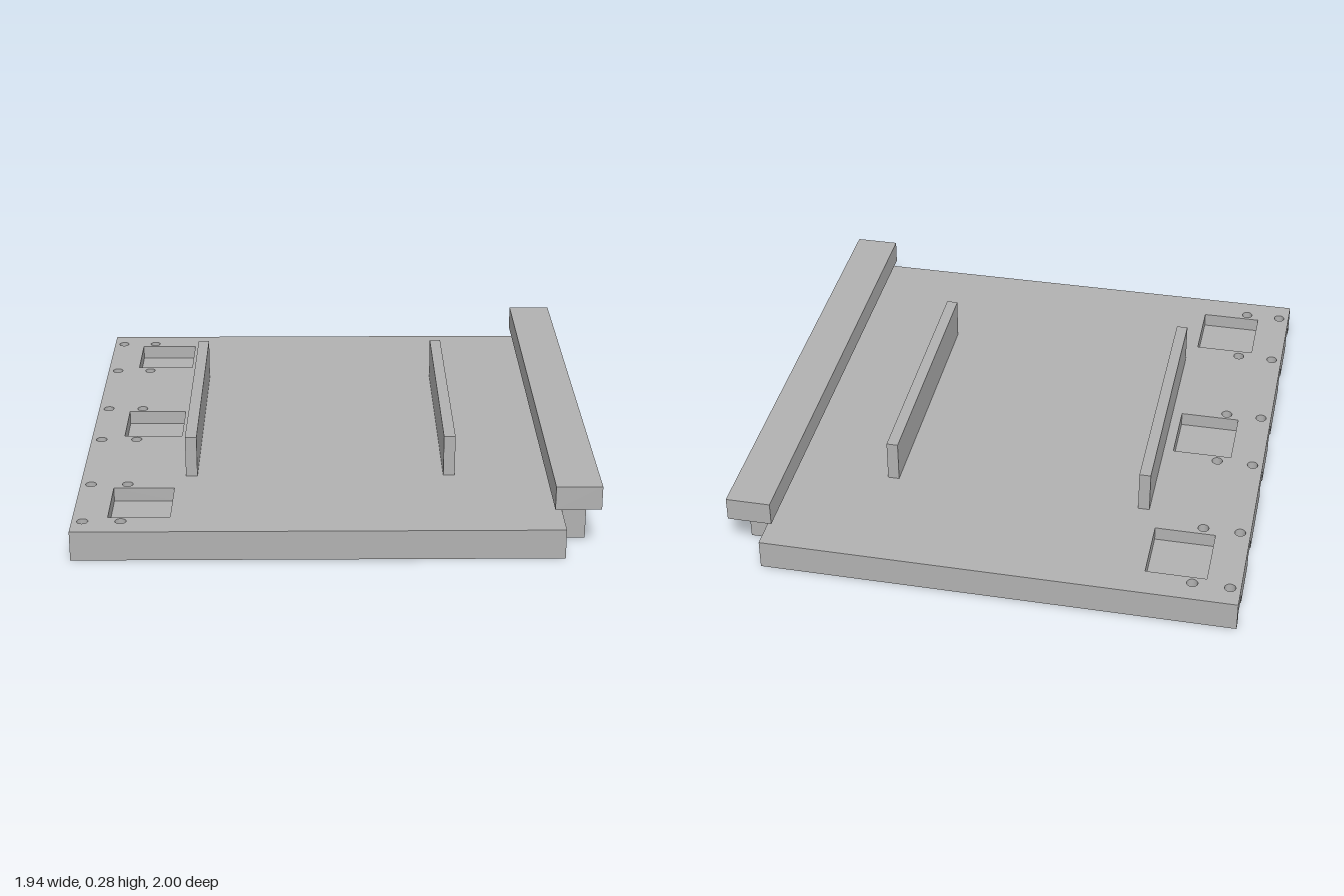
import * as THREE from 'three';

const LEFT = -0.97, RIGHT = 0.84, THICK = 0.115;
const ROWS = [-0.91, -0.587, -0.16, 0.16, 0.587, 0.91]; // z of each pair of bolt holes
const COLUMNS = [-0.93, -0.79];                         // x of the two holes in a pair
const SLOT = 0.055;                                     // half width of the underside recesses

function rectangle(Type, x0, x1, z0, z1) {
  const p = new Type();
  p.moveTo(x0, z0);
  p.lineTo(x1, z0);
  p.lineTo(x1, z1);
  p.lineTo(x0, z1);
  p.closePath();
  return p;
}

function circle(x, z, r) {
  const p = new THREE.Path();
  p.absarc(x, z, r, 0, Math.PI * 2, true);
  return p;
}

export function createModel() {
  const group = new THREE.Group();
  const grey = new THREE.MeshStandardMaterial({ color: 0xb2b2b2 });
  grey.name = 'plain grey';

  const add = (name, geometry) => {
    const mesh = new THREE.Mesh(geometry, grey);
    mesh.name = name;
    group.add(mesh);
    return mesh;
  };
  const box = (name, x0, x1, y0, y1, z0, z1) =>
    add(name, new THREE.BoxGeometry(x1 - x0, y1 - y0, z1 - z0))
      .position.set((x0 + x1) / 2, (y0 + y1) / 2, (z0 + z1) / 2);
  const layer = (name, shape, y0, y1) => {
    const g = new THREE.ExtrudeGeometry(shape, { depth: y1 - y0, bevelEnabled: false, curveSegments: 10 });
    g.rotateX(-Math.PI / 2);
    g.translate(0, y0, 0);
    add(name, g);
  };
  const boltHoles = (shape) => {
    for (const z of ROWS) for (const x of COLUMNS) shape.holes.push(circle(x, z, 0.021));
  };

  // Underside of the plate: edge notches and small recesses below the bolt holes
  const lower = new THREE.Shape();
  lower.moveTo(LEFT, 1);
  for (const z of [...ROWS].reverse()) {
    lower.lineTo(LEFT, z + SLOT);
    lower.lineTo(-0.89, z + SLOT);
    lower.lineTo(-0.89, z - SLOT);
    lower.lineTo(LEFT, z - SLOT);
  }
  lower.lineTo(LEFT, -1);
  lower.lineTo(RIGHT, -1);
  lower.lineTo(RIGHT, 1);
  lower.closePath();
  for (const z of ROWS) lower.holes.push(rectangle(THREE.Path, -0.835, -0.745, z - SLOT, z + SLOT));
  layer('plateUnderside', lower, 0, 0.05);

  // Thin web, pierced only by the bolt holes
  const web = rectangle(THREE.Shape, LEFT, RIGHT, -1, 1);
  boltHoles(web);
  layer('plateWeb', web, 0.05, 0.06);

  // Upper part of the plate with three square pockets
  const upper = rectangle(THREE.Shape, LEFT, RIGHT, -1, 1);
  boltHoles(upper);
  for (const z of [-0.75, 0, 0.75])
    upper.holes.push(rectangle(THREE.Path, -0.84, -0.61, z - 0.128, z + 0.128));
  layer('plateTop', upper, 0.06, THICK);

  // Two upright ribs
  for (const x of [-0.55, 0.44]) box('rib', x - 0.022, x + 0.022, THICK, 0.278, -0.517, 0.517);

  // Raised side rail on two drilled feet
  box('rail', 0.8, 0.97, 0.175, 0.267, -0.955, 0.955);
  for (const side of [-1, 1]) {
    const foot = rectangle(THREE.Shape, -0.08, 0.08, 0, 0.175);
    foot.holes.push(circle(0, 0.087, 0.021));
    const g = new THREE.ExtrudeGeometry(foot, { depth: 0.09, bevelEnabled: false, curveSegments: 10 });
    g.rotateY(Math.PI / 2);
    g.translate(RIGHT, 0, side * 0.75);
    add('railFoot', g);
  }
  return group;
}
